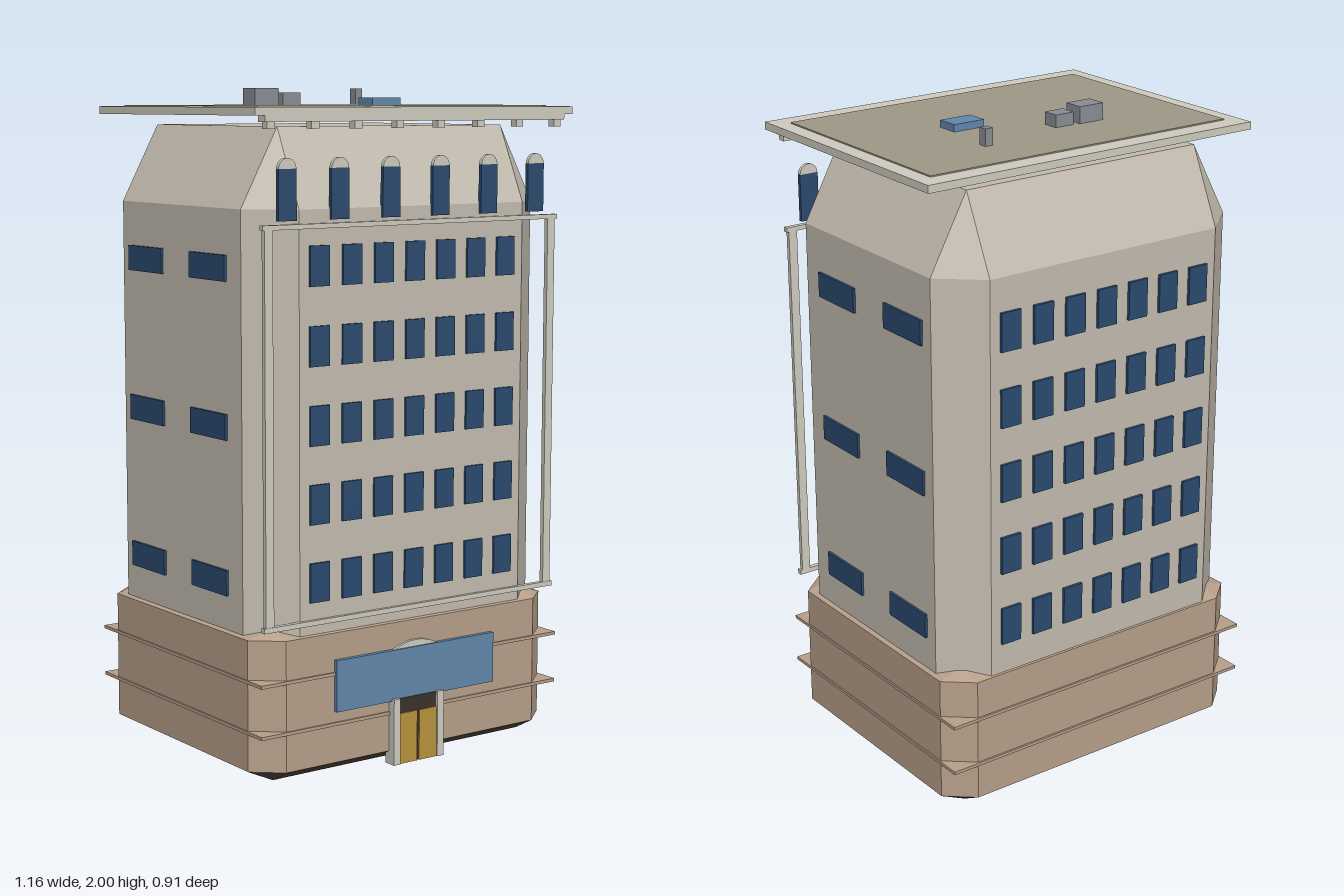
import * as THREE from 'three';

const mat = (color, side = THREE.FrontSide) =>
  new THREE.MeshStandardMaterial({ color, flatShading: true, side });

// Octagonal ring: a rectangle with its corners cut by cx, cz
function ring(y, hw, hd, cx, cz) {
  const w = hw - cx, d = hd - cz;
  return [[hw, -d], [hw, d], [w, hd], [-w, hd], [-hw, d], [-hw, -d], [-w, -hd], [w, -hd]]
    .map(([x, z]) => new THREE.Vector3(x, y, z));
}

// Closed flat-faced solid through a stack of rings, listed bottom to top
function loft(rings) {
  const pos = [];
  const tri = (a, b, c) => {
    const n = b.clone().sub(a).cross(c.clone().sub(a));
    if (n.length() > 1e-9) [a, b, c].forEach((p) => pos.push(p.x, p.y, p.z));
  };
  for (let k = 0; k < rings.length - 1; k++) {
    const a = rings[k], b = rings[k + 1];
    for (let i = 0; i < 8; i++) {
      const j = (i + 1) % 8;
      tri(a[i], b[i], a[j]);
      tri(a[j], b[i], b[j]);
    }
  }
  const lo = rings[0], hi = rings[rings.length - 1];
  for (let i = 1; i < 7; i++) {
    tri(lo[0], lo[i], lo[i + 1]);
    tri(hi[0], hi[i + 1], hi[i]);
  }
  const g = new THREE.BufferGeometry();
  g.setAttribute('position', new THREE.Float32BufferAttribute(pos, 3));
  g.computeVertexNormals();
  return g;
}

// Half disc standing on its flat edge, facing +z
function halfDisc(r, depth) {
  const s = new THREE.Shape();
  s.absarc(0, 0, r, 0, Math.PI, false);
  return new THREE.ExtrudeGeometry(s, { depth, bevelEnabled: false, curveSegments: 12 });
}

export function createModel() {
  const root = new THREE.Group();
  const wall = mat(0xc4bcb0), brick = mat(0xb8a08a), plinth = mat(0x5c4e44);
  const trim = mat(0xd0ccc0), deck = mat(0x9f9989), pane = mat(0x2b4b6f);
  const glass = mat(0x6288ac), gold = mat(0xb8943e), metal = mat(0x8a8e94), dark = mat(0x3a322c);

  const add = (name, geo, m, x = 0, y = 0, z = 0, parent = root) => {
    const mesh = new THREE.Mesh(geo, m);
    mesh.name = name;
    mesh.position.set(x, y, z);
    parent.add(mesh);
    return mesh;
  };
  // Box given by its extents on each axis
  const box = (name, m, [x0, x1], [y0, y1], [z0, z1], parent = root) =>
    add(name, new THREE.BoxGeometry(x1 - x0, y1 - y0, z1 - z0), m,
      (x0 + x1) / 2, (y0 + y1) / 2, (z0 + z1) / 2, parent);
  const group = (name) => {
    const g = new THREE.Group();
    g.name = name;
    root.add(g);
    return g;
  };

  // Base: dark tapered foot, chamfered walls, top bevelled in to a plain rectangle
  const zc = -0.009;
  add('plinth', loft([ring(0, 0.465, 0.37, 0, 0), ring(0.04, 0.55, 0.442, 0.085, 0.072)]),
    plinth, 0, 0, zc);
  add('base', loft([ring(0.04, 0.55, 0.442, 0.085, 0.072), ring(0.43, 0.55, 0.442, 0.085, 0.072),
    ring(0.453, 0.465, 0.37, 0, 0)]), brick, 0, 0, zc);
  for (const y of [0.157, 0.308])
    box('baseBand', brick, [-0.554, 0.554], [y - 0.005, y + 0.005], [-0.457, 0.438]);

  // Tower: chamfered shaft whose corners close to points at the top
  add('tower', loft([ring(0.42, 0.535, 0.434, 0.125, 0.108), ring(1.66, 0.535, 0.434, 0.125, 0.108),
    ring(1.89, 0.41, 0.326, 0, 0)]), wall, 0, 0, -0.011);

  // Window grids on front and back
  const paneGeo = new THREE.BoxGeometry(0.068, 0.116, 0.012);
  for (const [name, z] of [['frontWindow', 0.424], ['backWindow', -0.448]]) {
    const g = group(name + 's');
    for (let r = 0; r < 5; r++)
      for (let c = -3; c <= 3; c++)
        add(name, paneGeo, pane, c * 0.114, 0.586 + r * 0.2285, z, g);
  }

  // Wide windows on both sides
  const sideGeo = new THREE.BoxGeometry(0.012, 0.076, 0.19);
  const sides = group('sideWindows');
  for (const s of [-1, 1])
    for (const y of [0.574, 1.032, 1.49])
      for (const z of [0.145, -0.201])
        add('sideWindow', sideGeo, pane, s * 0.537, y, z, sides);

  // Arched windows standing in front of the tapered top
  const archGeo = halfDisc(0.03, 0.012);
  const arches = group('archedWindows');
  for (let i = 0; i < 6; i++) {
    const x = (i - 2.5) * 0.182;
    box('archedWindow', pane, [x - 0.031, x + 0.031], [1.63, 1.775], [0.42, 0.432], arches);
    add('windowArch', archGeo, trim, x, 1.775, 0.42, arches);
  }

  // Front frame: corner posts and two rails
  const frame = group('frontFrame');
  for (const s of [-1, 1])
    add('cornerPost', new THREE.BoxGeometry(0.028, 1.15, 0.014), trim, s * 0.519, 1.045, 0.425, frame);
  box('lowerRail', trim, [-0.54, 0.54], [0.462, 0.477], [0.418, 0.434], frame);
  box('upperRail', trim, [-0.54, 0.54], [1.606, 1.62], [0.418, 0.434], frame);

  // Entrance: glass panel, arch, posts and double door
  const entry = group('entrance');
  box('glassPanel', glass, [-0.295, 0.295], [0.195, 0.35], [0.425, 0.447], entry);
  add('entranceArch', halfDisc(0.165, 0.012), trim, 0, 0.205, 0.43, entry);
  box('transom', dark, [-0.07, 0.07], [0, 0.2], [0.42, 0.449], entry);
  for (const s of [-1, 1]) {
    add('door', new THREE.BoxGeometry(0.066, 0.155, 0.03), gold, s * 0.037, 0.0775, 0.439, entry);
    add('doorPost', new THREE.BoxGeometry(0.024, 0.202, 0.042), trim, s * 0.082, 0.101, 0.437, entry);
  }

  // Overhanging roof, with a cornice and brackets along the front
  const roof = group('roof');
  box('roofSlab', trim, [-0.578, 0.578], [1.922, 1.945], [-0.398, 0.455], roof);
  box('roofDeck', deck, [-0.527, 0.527], [1.94, 1.949], [-0.335, 0.392], roof);
  box('cornice', trim, [-0.545, 0.545], [1.905, 1.922], [0.42, 0.455], roof);
  for (let i = 0; i < 8; i++) {
    const x = (i - 3.5) * 0.149;
    box('bracket', trim, [x - 0.013, x + 0.013], [1.885, 1.906], [0.425, 0.45], roof);
  }

  // Rooftop equipment
  box('largeVentUnit', metal, [-0.232, -0.145], [1.945, 2], [-0.13, -0.065], roof);
  box('smallVentUnit', metal, [-0.125, -0.06], [1.945, 1.987], [-0.125, -0.072], roof);
  box('chimney', metal, [0.203, 0.229], [1.945, 2], [-0.175, -0.147], roof);
  box('skylight', glass, [0.1, 0.207], [1.945, 1.971], [0.01, 0.081], roof);

  return root;
}
